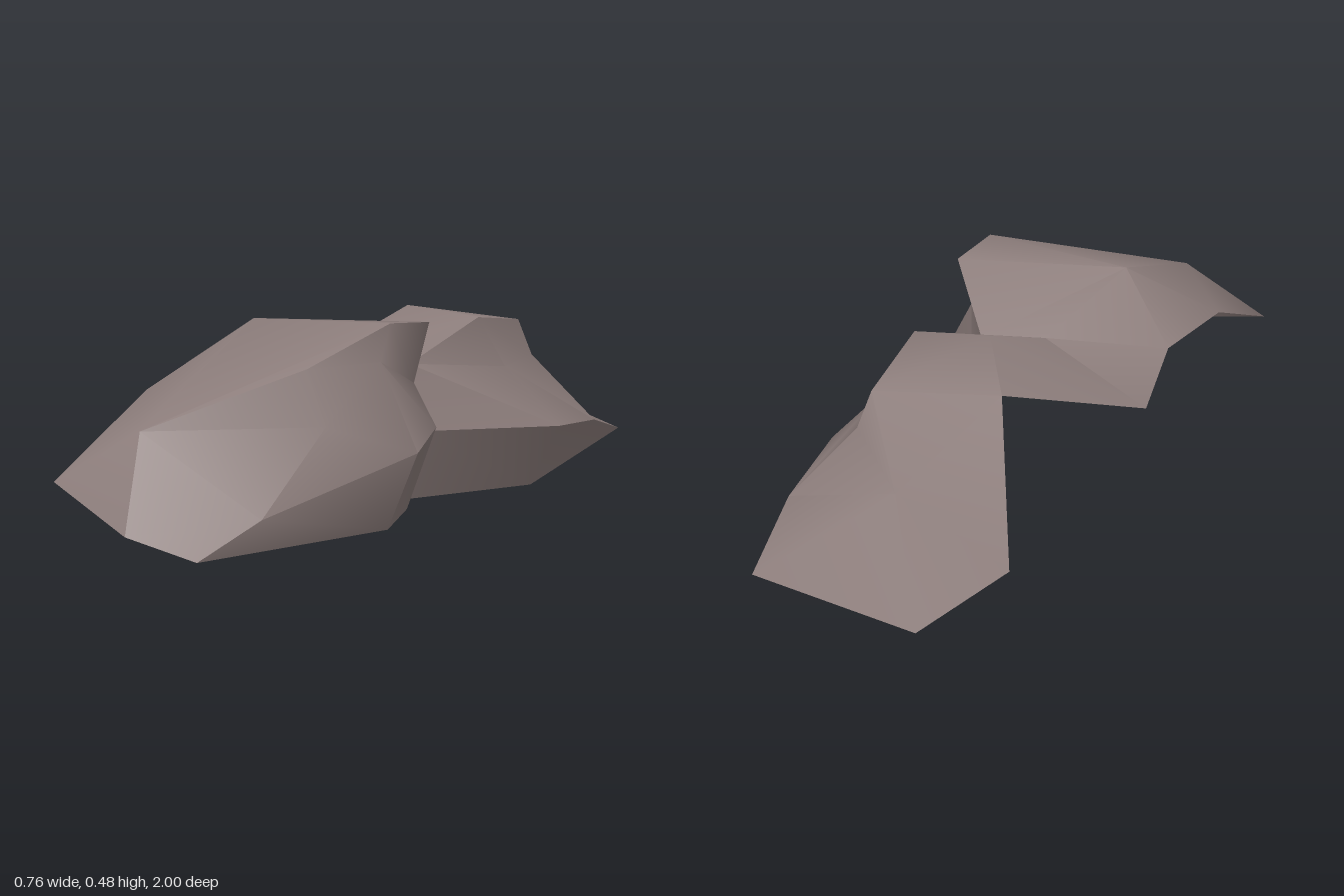
import * as THREE from 'three';
import { toCreasedNormals } from 'three/addons/utils/BufferGeometryUtils.js';

// Named points of the rock ledge
const P = {
  // front tip
  tipLeft: [-0.27, 0.14, 0.9], tip: [0, 0.057, 1], tipRight: [0.15, 0.005, 0.94],
  brow: [-0.05, 0.27, 0.87], toe: [0.215, 0.08, 0.78],
  // front lump
  left1: [-0.296, 0.3, 0.5], lip: [0.19, 0.39, 0.55], underLip: [0.24, 0.26, 0.55],
  left2: [-0.29, 0.317, 0.18], peak: [-0.12, 0.463, 0.3], crestA: [0.28, 0.478, 0.33],
  shoulderA: [0.29, 0.395, 0.39], wallA: [0.375, 0.185, 0.365], baseA: [0.315, 0.005, 0.4],
  crestB: [0.29, 0.465, 0.165], shoulderB: [0.28, 0.325, 0.22], wallB: [0.33, 0.22, 0.2], baseB: [0.25, 0.015, 0.2],
  // saddle between the lumps
  left3: [-0.31, 0.228, 0], saddle: [-0.02, 0.35, 0.035], notch: [0.14, 0.335, 0], wallC: [0.2, 0.18, 0.06], baseC: [0.13, 0.001, 0.055],
  // rear lump
  left4: [-0.145, 0.41, -0.46], dome: [0, 0.45, -0.23], crestD: [0.2, 0.43, -0.24],
  shoulderD: [0.24, 0.3, -0.31], wallD: [0.38, 0.154, -0.34], baseD: [0.31, 0, -0.32],
  crestE: [0.16, 0.393, -0.53], shoulderE: [0.19, 0.3, -0.55], wallE: [0.335, 0.128, -0.63],
  // rear end
  hollow: [0.02, 0.22, -0.68], endLeft: [-0.38, 0.21, -0.9], end: [-0.2, 0.065, -1], endRight: [0.27, 0.063, -0.91],
};

// Cross-sections from front to back, each running from the left edge over the crest to the base;
// a repeated name narrows the strip to a point there
const ROWS = [
  'tipLeft tip tip tip tip tipRight',
  'tipLeft brow brow brow toe tipRight',
  'left1 brow lip underLip toe tipRight',
  'left2 peak crestA shoulderA wallA baseA',
  'left2 peak crestB shoulderB wallB baseB',
  'left3 saddle notch notch wallC baseC',
  'left4 dome crestD shoulderD wallD baseD',
  'left4 left4 crestE shoulderE wallE endRight',
  'endLeft hollow hollow hollow wallE endRight',
  'endLeft end end end endRight endRight',
].map((r) => r.split(' '));

function ledgeGeometry() {
  const pos = [];
  const tri = (a, b, c) => {
    if (a !== b && b !== c && c !== a) pos.push(...P[a], ...P[b], ...P[c]);
  };
  for (let i = 0; i < ROWS.length - 1; i++) {
    const r = ROWS[i], s = ROWS[i + 1];
    for (let j = 0; j < r.length - 1; j++) {
      tri(r[j], r[j + 1], s[j + 1]);
      tri(r[j], s[j + 1], s[j]);
    }
  }
  const g = new THREE.BufferGeometry();
  g.setAttribute('position', new THREE.Float32BufferAttribute(pos, 3));
  return toCreasedNormals(g, 0.75);
}

export function createModel() {
  const group = new THREE.Group();
  group.name = 'rockLedge';
  // open shell, seen from both sides
  const stone = new THREE.MeshStandardMaterial({ color: 0x8c7d7b, side: THREE.DoubleSide });
  stone.name = 'stone';
  const rock = new THREE.Mesh(ledgeGeometry(), stone);
  rock.name = 'rockShell';
  group.add(rock);
  return group;
}
